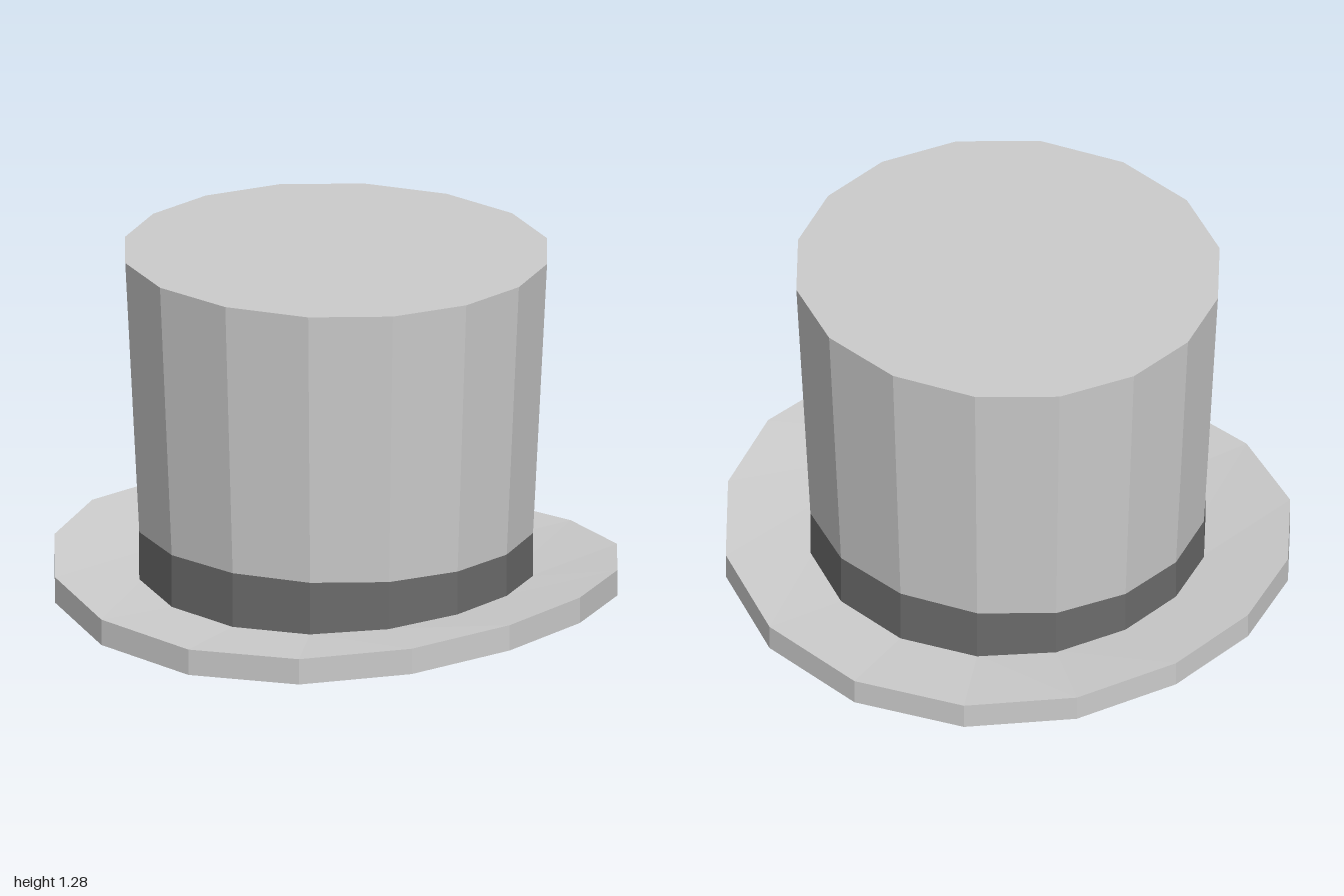
import * as THREE from 'three';

const SIDES = 16;
const DEPTH = 0.967; // the hat is slightly narrower front to back
const LIFT = 0.093;  // how far the sides of the brim curl up

// Turns a profile of [radius, y] points into a faceted, slightly oval part.
// Points below bendBelow are lifted towards the left and right sides.
function turned(name, profile, color, bendBelow) {
  const geo = new THREE.LatheGeometry(profile.map(([r, y]) => new THREE.Vector2(r, y)), SIDES);
  const p = geo.attributes.position;
  for (let i = 0; i < p.count; i++) {
    const x = p.getX(i), y = p.getY(i), z = p.getZ(i);
    const r = Math.hypot(x, z) || 1;
    const bentX = r * Math.sin(0.63 * x / r) / Math.sin(0.63);
    const bentZ = Math.sign(z) * r * Math.pow(Math.abs(z) / r, 1.05) * DEPTH;
    p.setXYZ(i, bentX, y < bendBelow ? y + LIFT * bentX * bentX : y, bentZ);
  }
  geo.computeVertexNormals();
  const mesh = new THREE.Mesh(geo, new THREE.MeshStandardMaterial({ color, flatShading: true }));
  mesh.name = name;
  return mesh;
}

export function createModel() {
  const hat = new THREE.Group();
  hat.name = 'topHat';
  // Curved brim, closed underneath
  hat.add(turned('brim', [[0, 0], [1, 0], [1, 0.093], [0.69, 0.093]], 0xcccccc, 0.2));
  // Dark ribbon around the foot of the crown
  hat.add(turned('band', [[0.7, 0.09], [0.7, 0.29]], 0x6b6b6b, 0.2));
  // Crown widening towards its flat top
  hat.add(turned('crown', [[0.7, 0.29], [0.75, 1.28], [0, 1.28]], 0xcccccc, 0));
  return hat;
}
